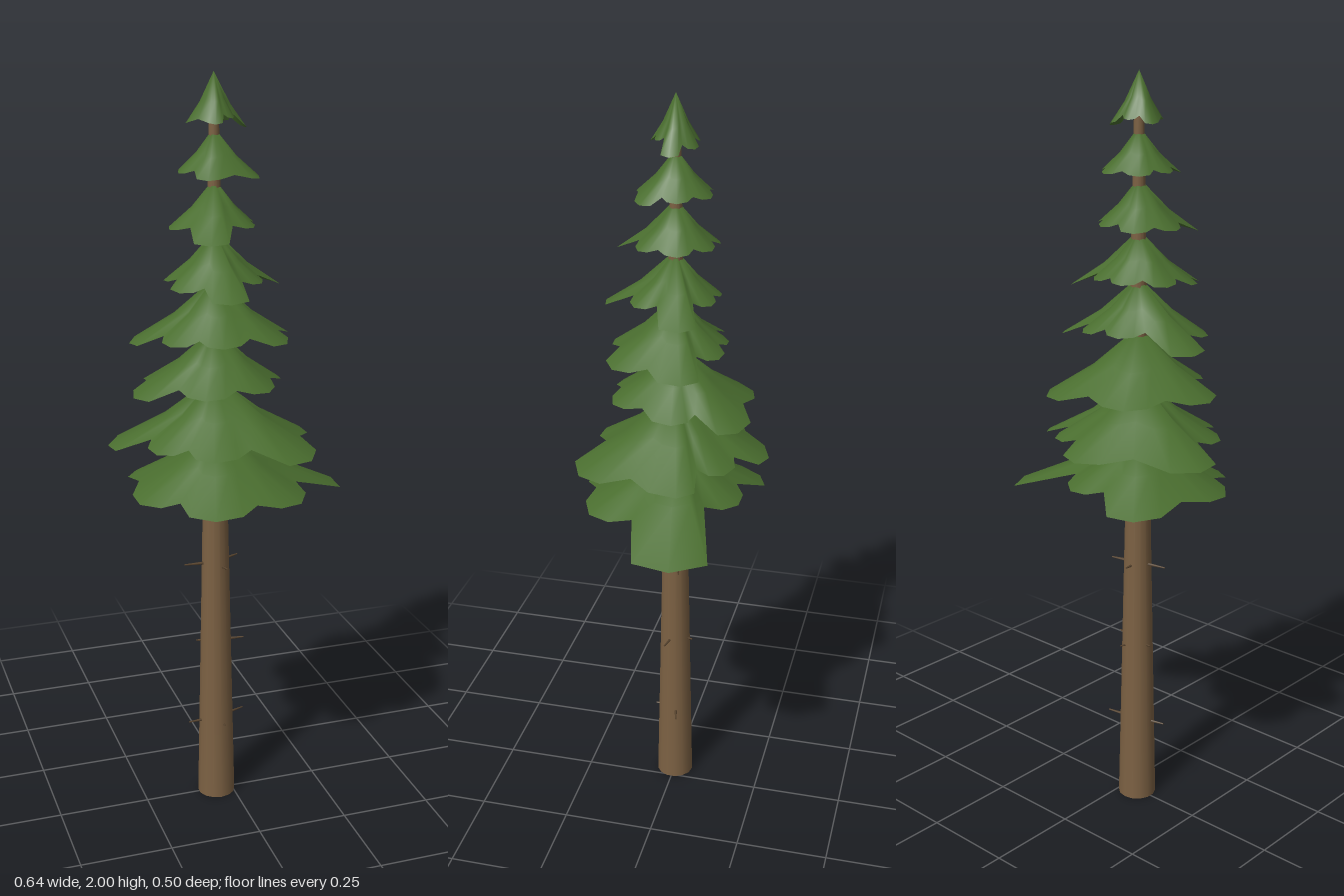
import * as THREE from 'three';

const AXIS_X = -0.045;

// Boughs per tier, bottom to top: tip height, then [angle in degrees from +x towards +z, reach]
const TIERS = [
  { top: 1.10, boughs: [[-11, .369], [48, .26], [107, .261], [160, .245], [231, .262], [290, .2]] },
  { top: 1.23, boughs: [[-14, .272], [48, .287], [108, .225], [150, .22], [195, .283], [268, .253], [312, .22]] },
  { top: 1.36, boughs: [[-10, .187], [55, .175], [115, .18], [175, .225], [238, .22], [306, .243]] },
  { top: 1.49, boughs: [[-17, .215], [40, .2], [100, .175], [145, .18], [190, .222], [250, .14], [300, .15]] },
  { top: 1.61, boughs: [[-16, .188], [40, .13], [95, .19], [143, .15], [195, .13], [250, .12], [298, .12]] },
  { top: 1.74, boughs: [[-15, .11], [45, .11], [110, .165], [178, .12], [235, .12], [290, .108]] },
  { top: 1.865, boughs: [[-15, .1], [35, .118], [115, .112], [175, .095], [228, .1], [288, .1]] },
  { top: 2.0, boughs: [[-2, .085], [50, .055], [103, .067], [200, .07], [255, .06], [305, .07]], steep: 1.35 },
];

// Lobed, drooping skirt: apex, a middle ring and a rim
function skirtGeometry({ top, boughs, steep = 1 }) {
  const rim = [];
  boughs.forEach(([angle, reach], i) => {
    const last = i === boughs.length - 1;
    const [a2, r2] = boughs[(i + 1) % boughs.length];
    const next = last ? a2 + 360 : a2;
    const prev = i ? boughs[i - 1][0] : boughs[boughs.length - 1][0] - 360;
    const before = Math.min(16, (angle - prev) * 0.3);
    const after = Math.min(16, (next - angle) * 0.3);
    rim.push([angle - before, reach * 0.95], [angle, reach], [angle + after, reach * 0.95]);
    rim.push([(angle + next) / 2, Math.min(reach, r2) * 0.83]);
  });

  const n = rim.length;
  const positions = [0, top, 0];
  const index = [];
  for (const [spread, fall] of [[0.5, 0.58], [1, 1]]) {
    for (const [deg, r] of rim) {
      const a = THREE.MathUtils.degToRad(deg);
      const drop = 0.35 * Math.sqrt(r) * steep;
      positions.push(Math.cos(a) * r * spread, top - drop * fall, Math.sin(a) * r * spread);
    }
  }
  for (let i = 0; i < n; i++) {
    const j = (i + 1) % n;
    const m0 = 1 + i, m1 = 1 + j, e0 = 1 + n + i, e1 = 1 + n + j;
    index.push(0, m1, m0, m0, m1, e1, m0, e1, e0);
  }
  const geometry = new THREE.BufferGeometry();
  geometry.setAttribute('position', new THREE.Float32BufferAttribute(positions, 3));
  geometry.setIndex(index);
  geometry.computeVertexNormals();
  return geometry;
}

export function createModel() {
  const needles = new THREE.MeshStandardMaterial({ color: 0x4a6e2f, side: THREE.DoubleSide });
  needles.name = 'needle green';
  const bark = new THREE.MeshStandardMaterial({ color: 0x7c6143 });
  bark.name = 'bark brown';
  const deadWood = new THREE.MeshStandardMaterial({ color: 0x5a4630 });
  deadWood.name = 'dead wood brown';

  const tree = new THREE.Group();
  tree.name = 'coniferTree';
  const add = (name, geometry, material, parent = tree) => {
    const mesh = new THREE.Mesh(geometry, material);
    mesh.name = name;
    parent.add(mesh);
    return mesh;
  };

  // Tapered trunk
  add('trunk', new THREE.CylinderGeometry(0.012, 0.052, 1.93, 14), bark).position.set(AXIS_X, 0.965, 0);

  // Foliage tiers
  const foliage = new THREE.Group();
  foliage.name = 'foliage';
  foliage.position.x = AXIS_X;
  tree.add(foliage);
  TIERS.forEach((tier, i) => add(`foliageTier${i + 1}`, skirtGeometry(tier), needles, foliage));

  // Bare twigs: height, angle, reach from the trunk axis
  const twigs = [
    [.705, 175, .09], [.705, -20, .075], [.70, 75, .062], [.705, 260, .06],
    [.47, 190, .055], [.47, 10, .078], [.465, 285, .055],
    [.23, 170, .085], [.23, -15, .09], [.225, 80, .055],
  ];
  const up = new THREE.Vector3(0, 1, 0);
  for (const [y, deg, reach] of twigs) {
    const a = THREE.MathUtils.degToRad(deg);
    const dir = new THREE.Vector3(Math.cos(a), 0.06, Math.sin(a)).normalize();
    const twig = add('twig', new THREE.CylinderGeometry(0.002, 0.006, reach, 5), deadWood);
    twig.quaternion.setFromUnitVectors(up, dir);
    twig.position.set(AXIS_X, y, 0).addScaledVector(dir, reach / 2);
  }
  return tree;
}
